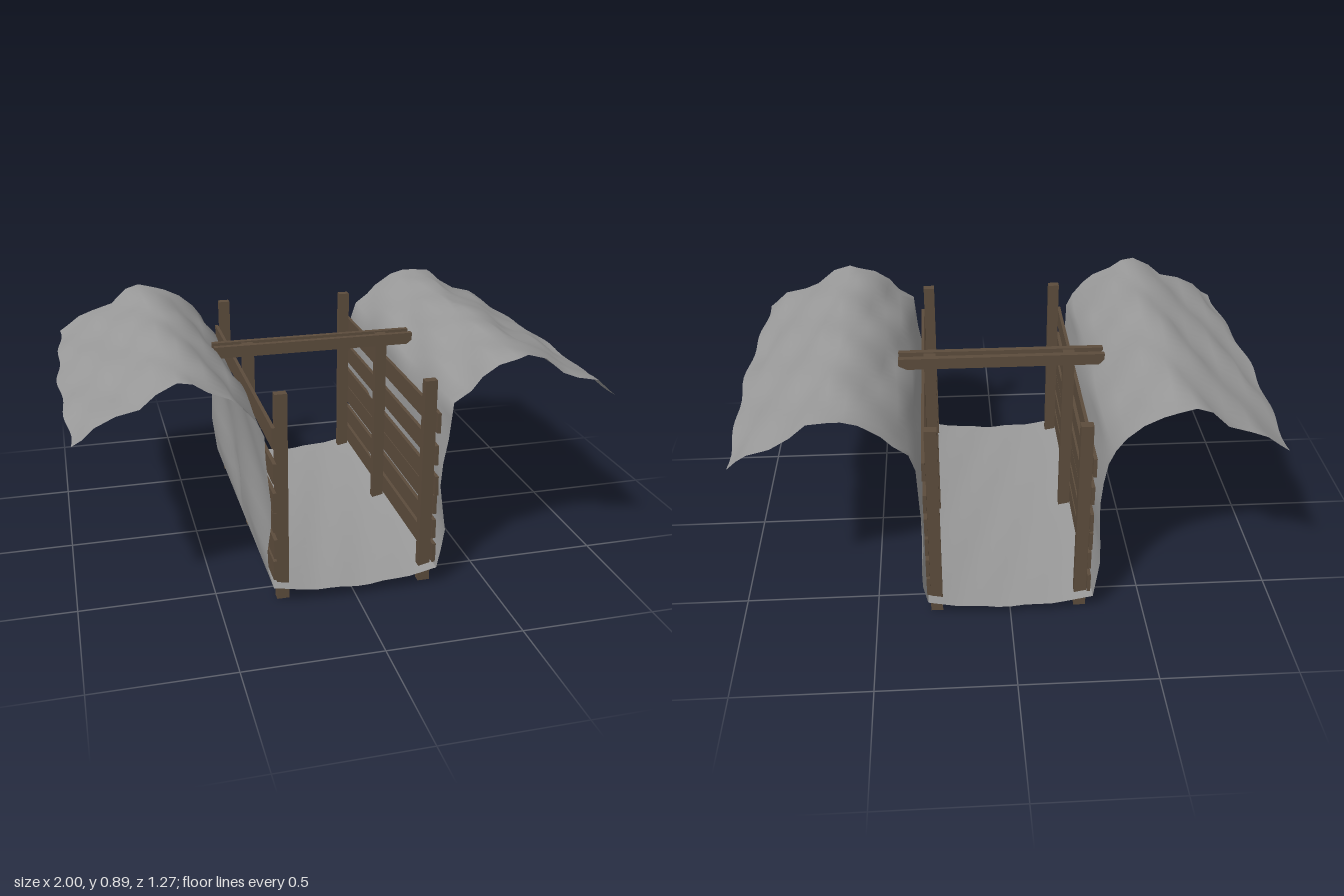
import * as THREE from 'three';

const HALF_LENGTH = 0.637;

// Open sheet: rows run along z, columns follow a cross-section; place(column, z) gives a point
function sheet(columns, rows, place) {
  const geo = new THREE.PlaneGeometry(1, 1, columns, rows);
  const pos = geo.attributes.position;
  for (let r = 0; r <= rows; r++) {
    const z = -HALF_LENGTH + (2 * HALF_LENGTH * r) / rows;
    for (let c = 0; c <= columns; c++) {
      const [x, y] = place(c, z);
      pos.setXYZ(r * (columns + 1) + c, x, y, z);
    }
  }
  geo.computeVertexNormals();
  return geo;
}

// Smooth dent centred on (y0, z0)
const dent = (y, z, y0, z0, ry, rz) =>
  Math.exp(-(((y - y0) / ry) ** 2) - ((z - z0) / rz) ** 2);

export function createModel() {
  const soil = new THREE.MeshStandardMaterial({ color: 0x999999, side: THREE.DoubleSide });
  soil.name = 'grey soil';
  const wood = new THREE.MeshStandardMaterial({ color: 0x5c4c3c });
  wood.name = 'dark wood';

  const group = new THREE.Group();
  group.name = 'trenchSection';

  function add(name, geo, material) {
    const mesh = new THREE.Mesh(geo, material);
    mesh.name = name;
    group.add(mesh);
    return mesh;
  }
  function box(name, x0, x1, y0, y1, z0, z1) {
    add(name, new THREE.BoxGeometry(x1 - x0, y1 - y0, z1 - z0), wood)
      .position.set((x0 + x1) / 2, (y0 + y1) / 2, (z0 + z1) / 2);
  }

  // Wall and bank cross-section, from the floor up and out to the lip
  const profile = [
    [0.308, 0.075], [0.322, 0.15], [0.33, 0.23], [0.321, 0.32], [0.314, 0.41],
    [0.318, 0.5], [0.328, 0.59], [0.336, 0.67], [0.352, 0.725], [0.40, 0.772],
    [0.45, 0.815], [0.51, 0.857], [0.57, 0.877], [0.62, 0.877], [0.68, 0.858],
    [0.75, 0.815], [0.82, 0.787], [0.89, 0.755], [0.94, 0.722], [0.982, 0.7],
  ];
  const last = profile.length - 1;

  for (const side of [1, -1]) {
    const geo = sheet(last, 28, (c, z) => {
      let [x, y] = profile[c];
      const phase = side > 0 ? 0 : 1.7;
      if (c === last) {
        // Wavy outer lip
        x += 0.011 * Math.cos(5 * z) + 0.007 * Math.cos(17 * z);
      } else if (c >= 8) {
        // Lumpy bank
        y += 0.007 * Math.sin(11 * z + c * 1.9 + phase) + 0.005 * Math.sin(19 * z - c * 1.3);
        x += 0.008 * Math.sin(9 * z + c * 2.3 + phase);
      } else if (c > 0) {
        // Uneven wall, sunk behind some of the planks
        x += 0.005 * Math.sin(8 * z + c * 1.4 + phase);
        x -= side > 0
          ? 0.022 * dent(y, z, 0.15, -0.15, 0.06, 0.13) + 0.014 * dent(y, z, 0.45, -0.2, 0.07, 0.07)
          : 0.028 * dent(y, z, 0.2, -0.03, 0.06, 0.07);
      }
      return [side * x, y];
    });
    add(side > 0 ? 'leftBank' : 'rightBank', geo, soil);
  }

  // Sagging floor
  add('floor', sheet(12, 20, (c, z) => {
    const t = c / 6 - 1;
    const bump = 0.004 * (1 - t * t) * Math.sin(10 * z + c * 1.7);
    return [0.308 * t, 0.042 + 0.033 * Math.pow(Math.abs(t), 2.2) + bump];
  }), soil);

  // Posts and plank cladding on both sides
  const plankBottoms = [0.085, 0.18, 0.28, 0.36, 0.475, 0.605];
  for (const side of [1, -1]) {
    const label = side > 0 ? 'left' : 'right';
    const span = (a, b) => (side > 0 ? [a, b] : [-b + 0.012, -a + 0.012]);
    for (const z of [-0.58, -0.019, 0.575]) {
      box(label + 'Post', ...span(0.254, 0.299), 0, z === -0.019 ? 0.785 : 0.8, z - 0.016, z + 0.016);
    }
    plankBottoms.forEach((y, i) => {
      const shift = 0.008 * Math.sin(i * 2.4 + side);
      box(label + 'Plank', ...span(0.299, 0.312), y, y + 0.076, -0.612 + shift, 0.605 + shift);
    });
  }

  // Pair of cross beams clamping the middle posts
  box('backCrossBeam', -0.4, 0.397, 0.745, 0.79, -0.057, -0.035);
  box('frontCrossBeam', -0.4, 0.397, 0.745, 0.79, -0.003, 0.019);

  return group;
}
